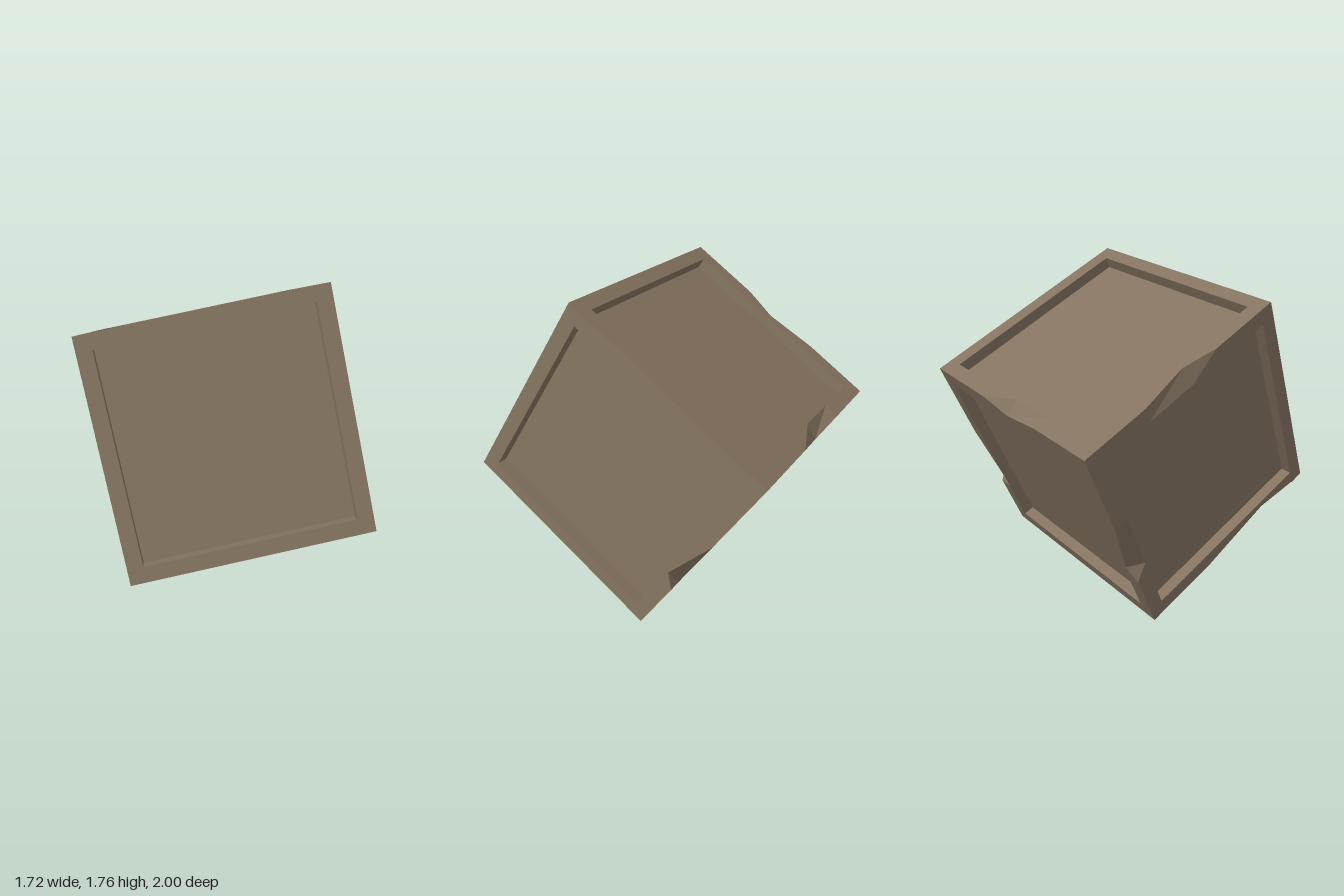
import * as THREE from 'three';

const H = 0.591;      // half the cube edge
const RIM = 0.077;    // width of the frame beams
const DEPTH = 0.058;  // how far the panels are sunk

// Square beam along one cube edge. axis: 0 x, 1 y, 2 z; sv, sw: side on the next two axes.
// chip: [start, deepest, end] fractions along the beam, and how far the outer corner is pushed in.
function beamGeometry(axis, sv, sw, chip) {
  const v = (axis + 1) % 3, w = (axis + 2) % 3, inner = H - RIM;
  const stations = [[0, 0, 0], [1, 0, 0]];
  if (chip) {
    const [start, deep, end] = chip.at;
    stations.splice(1, 0, [start, 0, 0], [deep, chip.v || 0, chip.w || 0], [end, 0, 0]);
  }
  const pos = [], index = [];
  for (const [t, dv, dw] of stations) {
    const section = [[inner, inner], [H, inner], [H - dv, H - dw], [inner, H]];
    for (const [a, b] of section) {
      const p = [0, 0, 0];
      p[axis] = (2 * t - 1) * H;
      p[v] = a * sv;
      p[w] = b * sw;
      pos.push(...p);
    }
  }
  for (let j = 0; j < stations.length - 1; j++) {
    for (let k = 0; k < 4; k++) {
      const a = j * 4 + k, b = j * 4 + (k + 1) % 4, c = b + 4, d = a + 4;
      if (sv * sw > 0) index.push(a, b, c, a, c, d);
      else index.push(a, c, b, a, d, c);
    }
  }
  const indexed = new THREE.BufferGeometry();
  indexed.setAttribute('position', new THREE.Float32BufferAttribute(pos, 3));
  indexed.setIndex(index);
  const geometry = indexed.toNonIndexed();
  geometry.computeVertexNormals();
  return geometry;
}

export function createModel() {
  const model = new THREE.Group();
  model.name = 'crate';
  const wood = new THREE.MeshStandardMaterial({ color: 0x857461, flatShading: true });
  wood.name = 'brown wood';

  // Tilted body holding all parts
  const body = new THREE.Group();
  body.name = 'tiltedCrate';
  const x = new THREE.Vector3(0.871, 0.152, 0.473).normalize();
  const z = x.clone().cross(new THREE.Vector3(0.11, 0.871, -0.473)).normalize();
  const y = z.clone().cross(x);
  body.quaternion.setFromRotationMatrix(new THREE.Matrix4().makeBasis(x, y, z));
  body.position.y = 0.88;
  model.add(body);

  // Sunken panels on all six sides
  const size = 2 * (H - DEPTH);
  const panels = new THREE.Mesh(new THREE.BoxGeometry(size, size, size), wood);
  panels.name = 'panels';
  body.add(panels);

  // Knocked-in edges, keyed by axis and sides
  const chips = {
    '1,-1,1': { at: [0.28, 0.34, 0.62], v: 0.068 },
    '1,-1,-1': { at: [0.28, 0.34, 0.62], w: 0.06 },
    '2,-1,1': { at: [0.3, 0.53, 0.68], v: 0.045 },
    '2,-1,-1': { at: [0.35, 0.72, 0.95], w: 0.045 },
    '0,1,-1': { at: [0.3, 0.5, 0.65], v: 0.04 },
  };

  // Twelve frame beams
  for (let axis = 0; axis < 3; axis++) {
    for (const sv of [-1, 1]) {
      for (const sw of [-1, 1]) {
        const beam = new THREE.Mesh(beamGeometry(axis, sv, sw, chips[[axis, sv, sw].join()]), wood);
        beam.name = 'frameBeam';
        body.add(beam);
      }
    }
  }
  return model;
}
